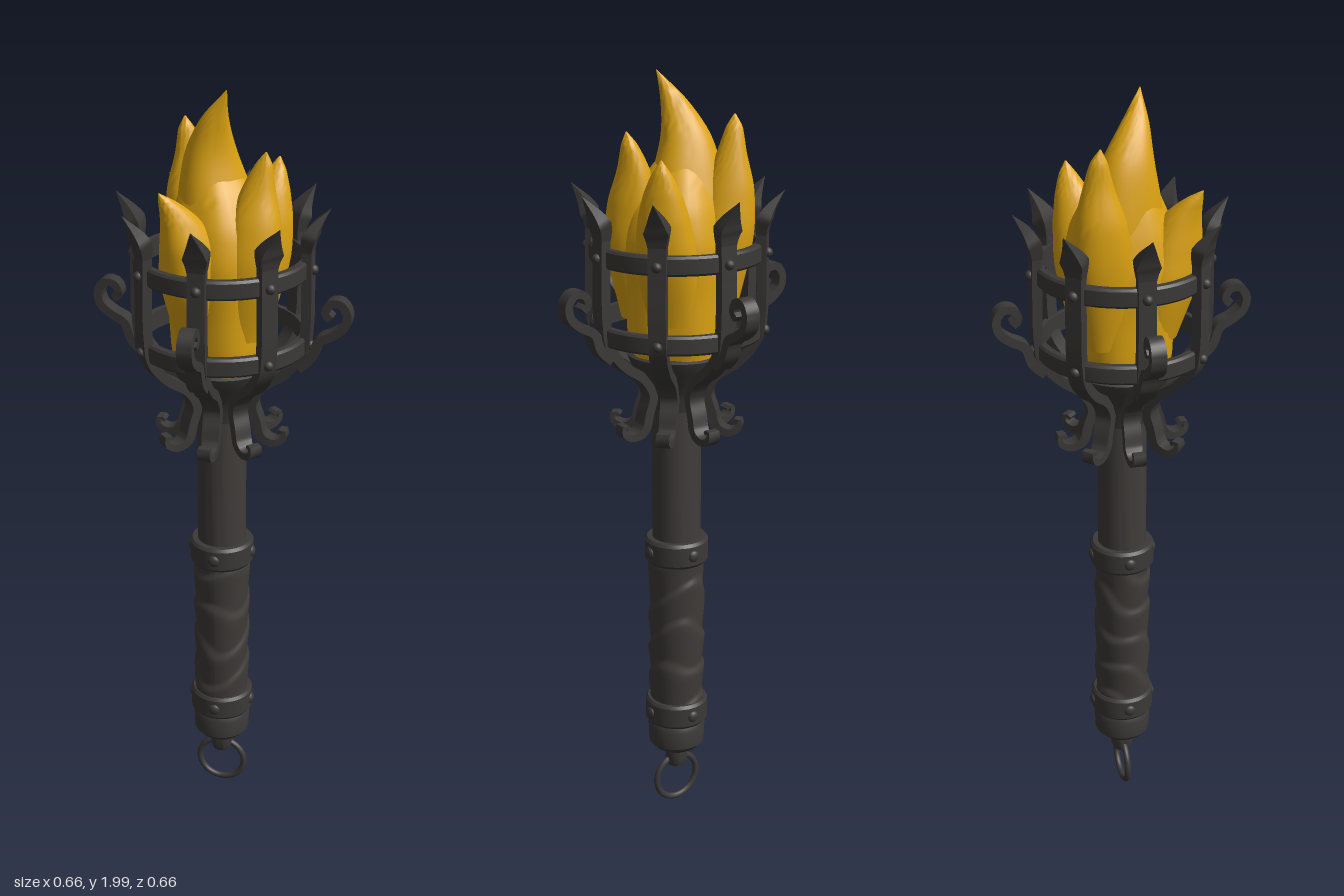
import * as THREE from 'three';
import { toCreasedNormals } from 'three/addons/utils/BufferGeometryUtils.js';

const V = (x, y, z) => new THREE.Vector3(x, y, z);

// Skin over a list of equal-sized rings of points, closed at both ends
function loft(rings, crease) {
  const n = rings[0].length, pos = [], idx = [];
  rings.forEach(r => r.forEach(p => pos.push(p.x, p.y, p.z)));
  for (let i = 0; i < rings.length - 1; i++) {
    for (let j = 0; j < n; j++) {
      const a = i * n + j, b = i * n + (j + 1) % n;
      idx.push(a, b, b + n, a, b + n, a + n);
    }
  }
  const last = (rings.length - 1) * n;
  for (let j = 1; j < n - 1; j++) {
    idx.push(0, j + 1, j);
    idx.push(last, last + j, last + j + 1);
  }
  const g = new THREE.BufferGeometry();
  g.setAttribute('position', new THREE.Float32BufferAttribute(pos, 3));
  g.setIndex(idx);
  g.computeVertexNormals();
  return crease ? toCreasedNormals(g, crease) : g;
}

// Flat iron strip bent in the x-y plane; size(t) gives [half width, half thickness]
function strip(points, steps, size) {
  const curve = new THREE.CatmullRomCurve3(points.map(p => V(p[0], p[1], 0)));
  const rings = [];
  for (let i = 0; i <= steps; i++) {
    const p = curve.getPointAt(i / steps), t = curve.getTangentAt(i / steps);
    const [w, h] = size(i / steps);
    const at = (s, z) => V(p.x + t.y * h * s, p.y - t.x * h * s, w * z);
    rings.push([at(1, 1), at(1, -1), at(-1, -1), at(-1, 1)]);
  }
  return loft(rings, 0.7);
}

// Flame tongue through sections [x, y, z, radius], with soft flutes along its sides
function tongue(sections, lobes, depth, phase) {
  const path = new THREE.CatmullRomCurve3(sections.map(s => V(s[0], s[1], s[2])));
  const size = new THREE.CatmullRomCurve3(sections.map(s => V(s[3], 0, 0)));
  const rings = [], steps = 28, sides = 36;
  for (let i = 0; i <= steps; i++) {
    const c = path.getPoint(i / steps), r = Math.max(size.getPoint(i / steps).x, 0.001);
    const ring = [];
    for (let j = 0; j < sides; j++) {
      const a = j / sides * Math.PI * 2;
      const k = r * (1 + depth * Math.sin(lobes * a + phase + i * 0.06));
      ring.push(V(c.x + Math.cos(a) * k, c.y, c.z - Math.sin(a) * k));
    }
    rings.push(ring);
  }
  return loft(rings, 0.8);
}

function lathe(profile, sides = 40) {
  const g = new THREE.LatheGeometry(profile.map(p => new THREE.Vector2(p[0], p[1])), sides);
  return toCreasedNormals(g, 0.6);
}

export function createModel() {
  const iron = new THREE.MeshStandardMaterial({ color: 0x3b3938 });
  iron.name = 'dark iron';
  const grip = new THREE.MeshStandardMaterial({ color: 0x403c3a });
  grip.name = 'dark grip';
  const fire = new THREE.MeshStandardMaterial({ color: 0xdca312 });
  fire.name = 'flame yellow';

  const model = new THREE.Group();
  model.name = 'torch';
  const add = (name, geometry, material, parent = model) => {
    const m = new THREE.Mesh(geometry, material);
    m.name = name;
    parent.add(m);
    return m;
  };

  // Hanging ring and pommel
  add('hangingRing', new THREE.TorusGeometry(0.064, 0.0085, 10, 40), iron).position.y = 0.08;
  add('pommel', lathe([[0, 0.115], [0.024, 0.12], [0.03, 0.135], [0.03, 0.165], [0.045, 0.178],
    [0.062, 0.185], [0.075, 0.2], [0.077, 0.25], [0.072, 0.262], [0, 0.265]]), iron);

  // Shaft
  add('shaft', lathe([[0, 0.25], [0.066, 0.25], [0.064, 0.8], [0.063, 1.24], [0, 1.24]]), grip);

  // Wrapped grip: a cylinder pushed out in slanting, overlapping turns
  const wrap = new THREE.CylinderGeometry(0.072, 0.072, 0.44, 48, 80, true);
  const wp = wrap.attributes.position;
  for (let i = 0; i < wp.count; i++) {
    const x = wp.getX(i), y = wp.getY(i), z = wp.getZ(i), a = Math.atan2(z, x);
    const turn = y / 0.11 + 0.35 * Math.sin(a) + 0.2 * Math.sin(2 * a + y * 14) + 20;
    const f = turn - Math.floor(turn);
    const k = 0.96 + 0.1 * Math.min(f * 1.3, (1 - f) * 5, 0.9);
    wp.setX(i, x * k);
    wp.setZ(i, z * k);
  }
  wrap.computeVertexNormals();
  add('gripWrap', wrap, grip).position.y = 0.535;

  // Collars with four rivets each
  for (const y of [0.3, 0.77]) {
    add('collar', lathe([[0.06, y - 0.034], [0.078, y - 0.034], [0.084, y - 0.026],
      [0.084, y + 0.026], [0.078, y + 0.034], [0.06, y + 0.034]]), iron);
    for (let i = 0; i < 4; i++) {
      const a = i * Math.PI / 2;
      const rivet = add('collarRivet', new THREE.SphereGeometry(0.016, 14, 10), iron);
      rivet.position.set(Math.cos(a) * 0.082, y, Math.sin(a) * 0.082);
      rivet.scale.set(i % 2 ? 1 : 0.6, 1, i % 2 ? 0.6 : 1);
    }
  }

  // Bowl under the fire
  add('bowl', lathe([[0.06, 1.14], [0.068, 1.19], [0.085, 1.235], [0.115, 1.275],
    [0.127, 1.305], [0.115, 1.312], [0, 1.312]]), iron);

  // Hoops of the cage
  for (const y of [1.375, 1.57]) {
    add('hoop', lathe([[0.198, y - 0.024], [0.213, y - 0.024], [0.218, y - 0.018], [0.218, y + 0.018],
      [0.213, y + 0.024], [0.198, y + 0.024], [0.198, y - 0.024]], 48), iron);
  }

  // Eight cage bars with curled feet and spear tips; scrolls on every second one
  const barPath = [[0.148, 1.128], [0.163, 1.137], [0.166, 1.117], [0.14, 1.102], [0.108, 1.115], [0.094, 1.16],
    [0.082, 1.205], [0.105, 1.25], [0.165, 1.295], [0.207, 1.35], [0.217, 1.42], [0.217, 1.53], [0.215, 1.625]];
  const bar = strip(barPath, 64, t => {
    const k = Math.min(1, 0.35 + t * 4);
    return [0.022 * Math.min(1, 0.65 + t * 2), 0.0125 * k];
  });
  const head = strip([[0.215, 1.615], [0.218, 1.645], [0.231, 1.675], [0.268, 1.725]], 12, t => {
    const w = t < 0.34 ? 0.022 + t * 0.025 : 0.0305 * (1 - t) / 0.66;
    return [Math.max(w, 0.0005), t < 0.34 ? 0.0125 + t * 0.015 : Math.max(0.0176 * (1 - t) / 0.66, 0.0005)];
  });
  const scroll = strip([[0.2, 1.315], [0.232, 1.345], [0.25, 1.39], [0.285, 1.41], [0.313, 1.435],
    [0.318, 1.468], [0.3, 1.492], [0.274, 1.488], [0.264, 1.464], [0.278, 1.45]], 44,
  t => [0.022 - t * 0.005, 0.0125 - t * 0.003]);
  const stud = new THREE.SphereGeometry(0.013, 12, 8);
  for (let i = 0; i < 8; i++) {
    const arm = new THREE.Group();
    arm.name = 'cageArm';
    arm.rotation.y = i * Math.PI / 4;
    add('bar', bar, iron, arm);
    add('spearTip', head, iron, arm);
    for (const y of [1.375, 1.57]) {
      add('barRivet', stud, iron, arm).position.set(y < 1.5 ? 0.225 : 0.229, y, 0);
    }
    if (i % 2 === 0) add('scroll', scroll, iron, arm);
    model.add(arm);
  }

  // Fire: a broad body and the tongues growing from it
  const flame = new THREE.Group();
  flame.name = 'flame';
  model.add(flame);
  add('flameBody', tongue([[0, 1.31, 0, 0.118], [0, 1.36, 0, 0.128], [0, 1.46, 0, 0.132], [0, 1.58, 0, 0.14],
    [0, 1.67, 0, 0.125], [-0.01, 1.75, 0, 0.09], [-0.02, 1.82, 0, 0.04]], 5, 0.035, 0.6), fire, flame);
  add('mainTongue', tongue([[-0.01, 1.5, 0, 0.1], [-0.015, 1.65, -0.01, 0.105], [-0.025, 1.76, -0.005, 0.085],
    [-0.028, 1.85, 0.005, 0.06], [-0.01, 1.93, 0.028, 0.032], [0.025, 2.0, 0.05, 0.001]], 3, 0.06, 0.3), fire, flame);
  add('backLeftTongue', tongue([[-0.06, 1.4, -0.06, 0.06], [-0.085, 1.6, -0.075, 0.075], [-0.1, 1.72, -0.08, 0.062],
    [-0.105, 1.81, -0.085, 0.036], [-0.112, 1.87, -0.085, 0.02], [-0.115, 1.9, -0.082, 0.002]], 3, 0.05, 1), fire, flame);
  add('rightTongue', tongue([[0.06, 1.4, 0.04, 0.065], [0.085, 1.58, 0.05, 0.076], [0.095, 1.69, 0.045, 0.062],
    [0.1, 1.77, 0.035, 0.04], [0.112, 1.83, 0.035, 0.02], [0.118, 1.86, 0.04, 0.002]], 3, 0.05, 2), fire, flame);
  add('frontTongue', tongue([[-0.04, 1.4, 0.06, 0.065], [-0.05, 1.55, 0.09, 0.082], [-0.055, 1.64, 0.11, 0.07],
    [-0.07, 1.71, 0.128, 0.046], [-0.09, 1.755, 0.15, 0.022], [-0.105, 1.78, 0.168, 0.002]], 3, 0.05, 0), fire, flame);
  add('backTongue', tongue([[0.05, 1.4, -0.06, 0.06], [0.075, 1.56, -0.075, 0.075], [0.09, 1.66, -0.085, 0.064],
    [0.1, 1.73, -0.095, 0.045], [0.11, 1.78, -0.105, 0.022], [0.115, 1.81, -0.11, 0.002]], 3, 0.05, 1.5), fire, flame);

  return model;
}
